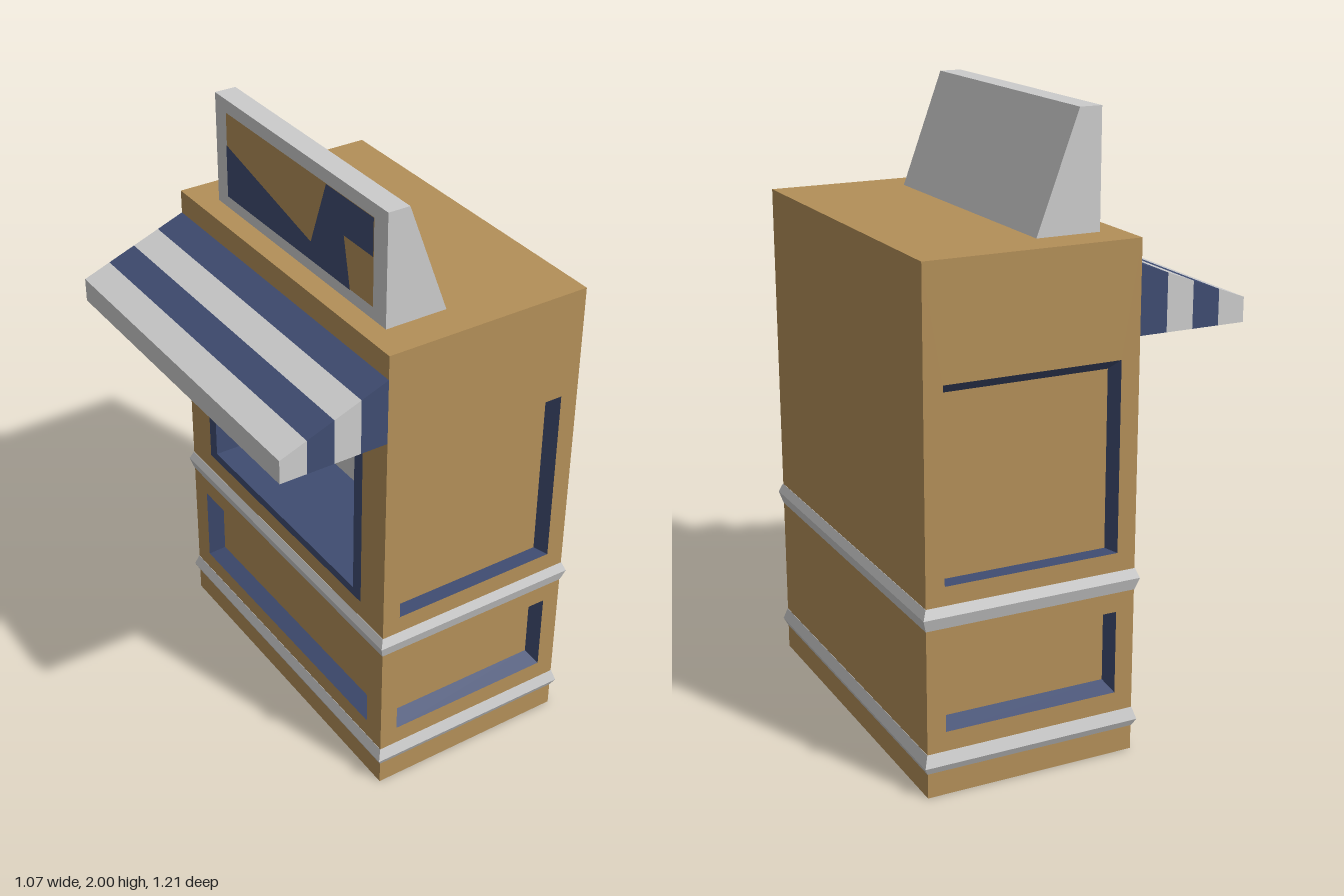
import * as THREE from 'three';

const mat = (color) => new THREE.MeshStandardMaterial({ color, flatShading: true, side: THREE.DoubleSide });
const wood = mat(0xb38f58), blue = mat(0x3f4c71), grey = mat(0xcccccc);

const CX = 0.171, HX = 0.348, HZ = 0.592, H = 1.633;   // cabinet centre and half sizes

function add(parent, name, geometry, material) {
  const m = new THREE.Mesh(geometry, material);
  m.name = name;
  parent.add(m);
  return m;
}

const rectPoints = (w, y0, y1) => [[-w, y0], [w, y0], [w, y1], [-w, y1]].map(([x, y]) => new THREE.Vector2(x, y));

// Flat wall with rectangular holes, each given as [halfWidth, bottom, top]
function holedWall(w, y0, y1, holes) {
  const s = new THREE.Shape(rectPoints(w, y0, y1));
  for (const h of holes) s.holes.push(new THREE.Path(rectPoints(...h).reverse()));
  return new THREE.ShapeGeometry(s);
}

// Recess going back from z = 0: side faces between outer and inner rectangle, plus a back panel
function recess(parent, name, outer, inner, depth, backMaterial) {
  const o = rectPoints(...outer), n = rectPoints(...inner), pos = [];
  for (let i = 0; i < 4; i++) {
    const j = (i + 1) % 4;
    const a = [o[i].x, o[i].y, 0], b = [o[j].x, o[j].y, 0];
    const c = [n[j].x, n[j].y, -depth], d = [n[i].x, n[i].y, -depth];
    pos.push(...a, ...b, ...c, ...a, ...c, ...d);
  }
  const g = new THREE.BufferGeometry();
  g.setAttribute('position', new THREE.Float32BufferAttribute(pos, 3));
  g.computeVertexNormals();
  add(parent, name + 'Edges', g, blue);
  add(parent, name + 'Back', new THREE.ShapeGeometry(new THREE.Shape(rectPoints(...inner))), backMaterial).position.z = -depth;
}

// Prism with an x-y profile, centred along z
function prism(points, halfDepth) {
  const s = new THREE.Shape(points.map(([x, y]) => new THREE.Vector2(x, y)));
  return new THREE.ExtrudeGeometry(s, { depth: halfDepth * 2, bevelEnabled: false }).translate(0, 0, -halfDepth);
}

export function createModel() {
  const model = new THREE.Group();
  model.name = 'kiosk';
  const cabinet = new THREE.Group();
  cabinet.name = 'cabinet';
  cabinet.position.x = CX;
  model.add(cabinet);

  // End walls with two recessed panels each
  for (const side of [1, -1]) {
    const wall = new THREE.Group();
    wall.name = side > 0 ? 'frontEndWall' : 'backEndWall';
    wall.position.z = side * HZ;
    wall.rotation.y = side > 0 ? 0 : Math.PI;
    const upper = [0.287, 0.67, 1.275], lower = [0.287, 0.206, 0.477];
    add(wall, 'endBoard', holedWall(HX, 0, H, [upper, lower]), wood);
    recess(wall, 'upperPanel', upper, [0.27, 0.672, 1.238], 0.05, wood);
    recess(wall, 'lowerPanel', lower, [0.27, 0.233, 0.475], 0.05, wood);
    cabinet.add(wall);
  }

  // Serving wall with window and lower panel
  const serving = new THREE.Group();
  serving.name = 'servingWall';
  serving.position.x = -HX;
  serving.rotation.y = -Math.PI / 2;
  const win = [0.467, 0.67, 1.275], opening = [0.424, 0.7, 1.245], low = [0.512, 0.206, 0.477];
  add(serving, 'servingBoard', holedWall(HZ, 0, H, [win, low]), wood);
  add(serving, 'windowFrame', holedWall(...win, [opening]), blue);
  recess(serving, 'windowInterior', opening, opening, 0.31, grey);
  recess(serving, 'servingLowerPanel', low, [0.485, 0.233, 0.475], 0.05, wood);
  cabinet.add(serving);

  // Plain wall, roof and base
  add(cabinet, 'plainWall', new THREE.PlaneGeometry(2 * HZ, H).rotateY(Math.PI / 2).translate(HX, H / 2, 0), wood);
  add(cabinet, 'roof', new THREE.PlaneGeometry(2 * HX, 2 * HZ).rotateX(-Math.PI / 2).translate(0, H, 0), wood);
  add(cabinet, 'base', new THREE.PlaneGeometry(2 * HX, 2 * HZ).rotateX(Math.PI / 2), wood);

  // Ridged bands around the cabinet
  for (const [name, y0, ridge, y1] of [['lowerBand', 0.08, 0.104, 0.143], ['upperBand', 0.54, 0.58, 0.61]]) {
    const g = new THREE.BoxGeometry(2 * HX, 2, 2 * HZ, 1, 2, 1);
    const p = g.attributes.position;
    for (let i = 0; i < p.count; i++) {
      const level = Math.round(p.getY(i));
      p.setY(i, level < 0 ? y0 : level > 0 ? y1 : ridge);
      const out = level === 0 ? 0.013 : 0.001;
      p.setX(i, p.getX(i) + Math.sign(p.getX(i)) * out);
      p.setZ(i, p.getZ(i) + Math.sign(p.getZ(i)) * out);
    }
    g.computeVertexNormals();
    add(cabinet, name, g, grey);
  }

  // Striped awning
  const xs = [-0.535, -0.446, -0.356, -0.267, CX - HX];
  const topY = (x) => 1.418 + (x - xs[0]) * (0.137 / (xs[4] - xs[0]));
  for (let i = 0; i < 4; i++) {
    const a = xs[i], b = xs[i + 1];
    add(model, 'awningStripe' + (i + 1), prism([[a, 1.34], [b, 1.34], [b, topY(b)], [a, topY(a)]], HZ), i % 2 ? blue : grey);
  }

  // Wedge sign with a two-tone board
  add(model, 'roofSign', prism([[-0.106, H], [0.103, H], [-0.034, 2], [-0.106, 2]], 0.47), grey);
  const board = new THREE.Group();
  board.name = 'signBoard';
  board.position.x = -0.107;
  board.rotation.y = -Math.PI / 2;
  add(board, 'signBackground', holedWall(0.405, 1.674, 1.957, []), wood);
  const patch = [[-0.405, 1.674], [0.29, 1.674], [0.256, 1.835], [0.405, 1.835], [0.405, 1.957], [0.163, 1.957], [0.08, 1.735], [-0.405, 1.85]];
  const shape = new THREE.Shape(patch.map(([x, y]) => new THREE.Vector2(x, y)));
  add(board, 'signPatch', new THREE.ShapeGeometry(shape), blue).position.z = 0.002;
  model.add(board);

  return model;
}
